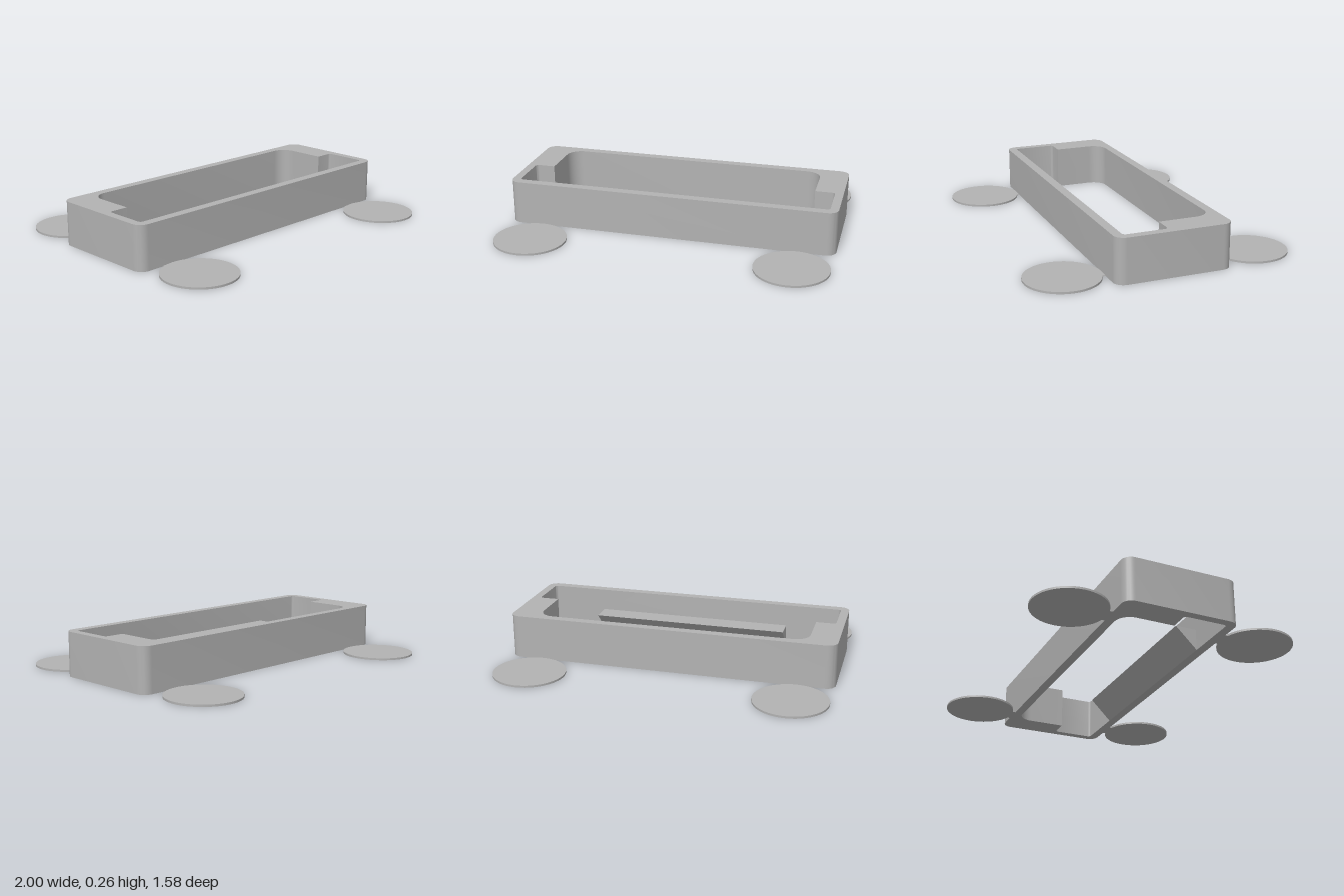
import * as THREE from 'three';
import { toCreasedNormals } from 'three/addons/utils/BufferGeometryUtils.js';

// Trace a closed right-angled outline of [x, y, cornerRadius] points with rounded corners
function roundedOutline(path, points) {
  const n = points.length;
  points.forEach(([x, y, r], i) => {
    const corner = new THREE.Vector2(x, y);
    const toward = (j, d) => {
      const [px, py] = points[(j + n) % n];
      return new THREE.Vector2(px, py).sub(corner).setLength(d).add(corner);
    };
    const a = toward(i - 1, r);
    if (i === 0) path.moveTo(a.x, a.y);
    else path.lineTo(a.x, a.y);
    if (r > 0) {
      const b = toward(i + 1, r);
      const c1 = toward(i - 1, r * 0.448), c2 = toward(i + 1, r * 0.448);
      path.bezierCurveTo(c1.x, c1.y, c2.x, c2.y, b.x, b.y);
    }
  });
  path.closePath();
  return path;
}

export function createModel() {
  const model = new THREE.Group();
  model.name = 'frameWithPads';
  const grey = new THREE.MeshStandardMaterial({ color: 0xb2b2b2 });
  grey.name = 'grey';

  const add = (name, geometry, x = 0, y = 0, z = 0) => {
    const mesh = new THREE.Mesh(geometry, grey);
    mesh.name = name;
    mesh.position.set(x, y, z);
    model.add(mesh);
  };

  // Rectangular frame with a stepped opening (outline y is -z)
  const outline = roundedOutline(new THREE.Shape(), [
    [-1, -0.345, 0.06], [1, -0.345, 0.06], [1, 0.345, 0.06], [-1, 0.345, 0.06],
  ]);
  outline.holes.push(roundedOutline(new THREE.Path(), [
    [-0.83, 0.291, 0.09], [0.83, 0.291, 0.09],
    [0.83, -0.029, 0], [0.95, -0.029, 0.02],
    [0.95, -0.291, 0.02], [-0.95, -0.291, 0.02],
    [-0.95, -0.029, 0.02], [-0.83, -0.029, 0],
  ]));
  const frame = new THREE.ExtrudeGeometry(outline, { depth: 0.265, bevelEnabled: false, curveSegments: 10 });
  frame.rotateX(-Math.PI / 2);
  add('frame', toCreasedNormals(frame, 0.5));

  // Wedge-shaped ledge on the inside of the front wall: flat top, sloping underside
  const wedge = new THREE.Shape();
  wedge.moveTo(-0.291, 0);
  wedge.lineTo(-0.16, 0.13);
  wedge.lineTo(-0.291, 0.13);
  wedge.closePath();
  const ledge = new THREE.ExtrudeGeometry(wedge, { depth: 1.22, bevelEnabled: false });
  ledge.translate(0, 0, -0.61).rotateY(Math.PI / 2);
  add('ledge', ledge);

  // Round pads at the four corners, joined to the frame by thin tabs
  const disc = new THREE.CylinderGeometry(0.218, 0.218, 0.012, 64);
  const tab = new THREE.BoxGeometry(0.11, 0.004, 0.04);
  for (const sx of [1, -1]) {
    for (const sz of [1, -1]) {
      const place = (sz > 0 ? 'front' : 'back') + (sx > 0 ? 'Left' : 'Right');
      add(place + 'Pad', disc, sx * 0.782, 0.006, sz * 0.573);
      add(place + 'Tab', tab, sx * 0.785, 0.002, sz * 0.36);
    }
  }
  return model;
}
